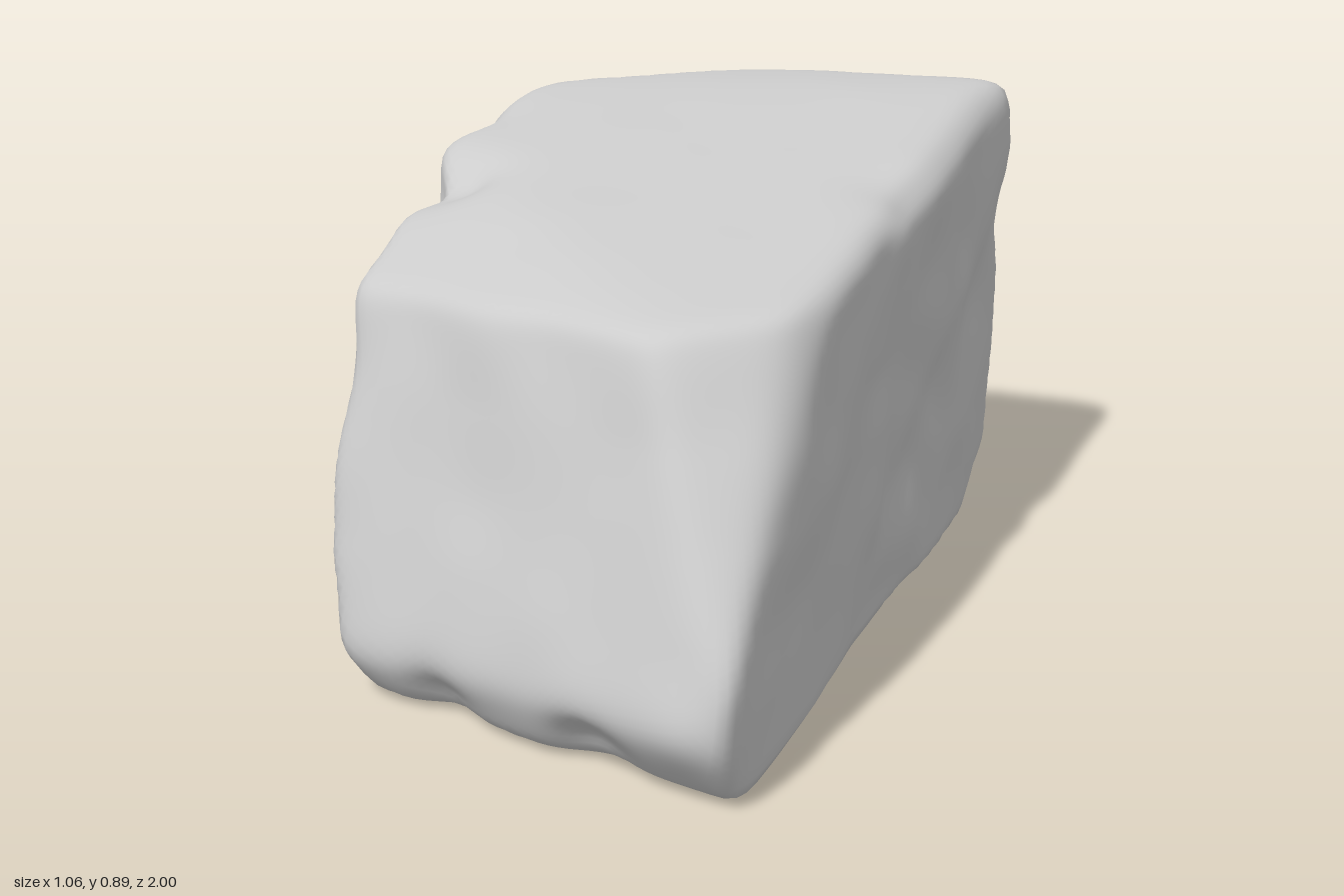
import * as THREE from 'three';
import { mergeVertices } from 'three/addons/utils/BufferGeometryUtils.js';

// Cleavage planes of the boulder: [outward normal, point on the plane]
const PLANES = [
  [[0, 1, 0.173], [0, 0.805, 0]],              // sloping top
  [[0, 1, 0], [0, 0.887, 0]],                  // highest ridge
  [[-0.2, 1, 0.32], [-0.2, 0.737, 0.39]],      // dropped front shoulder of the top
  [[0.7, 0.7, 0.24], [0.375, 0.777, 0.1]],     // worn top edge on +x
  [[0, -1, 0], [0, 0, 0]],                     // base
  [[-1, 0, 0], [-0.515, 0, 0]],                // -x side
  [[1, -0.05, 0.171], [0.522, 0.7, -0.6]],     // slanting +x side
  [[-0.5, 0.32, 0.87], [0.1, 0.2, 0.965]],     // leaning front
  [[0.35, 0.62, 0.94], [0.05, 0.7, 0.74]],     // front corner above the toe
  [[0.85, 0.3, 0.5], [0.255, 0.5, 0.79]],      // worn front edge on +x
  [[0, 0.1, 1], [0.18, 0.15, 1.005]],          // front toe
  [[-0.35, -0.6, 0.75], [0.15, 0.09, 0.985]],  // undercut below the toe
  [[-0.51, 0.39, -0.8], [0.04, 0.38, -1.02]],  // broad back face
  [[0.15, 0.6, -0.75], [0.2, 0.88, -0.71]],    // chipped top of the back
  [[0.66, 0, -0.75], [0.52, 0.5, -0.62]],      // back corner on +x
  [[0, -0.4, -0.9], [0, 0, -0.84]],            // undercut back
  [[-0.65, 0.75, 0], [-0.47, 0.84, 0]],        // chipped upper edge on -x
  [[-0.85, -0.5, 0], [-0.51, 0.08, 0]],        // chipped lower edge on -x
  [[0.6, -0.75, -0.25], [0.47, 0.07, -0.6]],   // chipped lower back corner
];
// Gouges: [centre, radius, depth]
const GOUGES = [
  [[-0.48, 0.75, 0.08], 0.14, 0.06],
  [[-0.5, 0.76, -0.25], 0.12, 0.04],
  [[-0.52, 0.45, -0.4], 0.12, 0.035],
  [[-0.52, 0.35, 0.02], 0.15, 0.035],
  [[0.4, 0.76, 0.1], 0.14, 0.025],
  [[0.42, 0.42, 0.02], 0.15, 0.02],
  [[-0.02, 0.04, 0.88], 0.09, 0.035],
  [[-0.3, 0.04, 0.72], 0.09, 0.03],
];
const CENTRE = new THREE.Vector3(-0.03, 0.42, 0);
const SHARPNESS = 50;

const facets = PLANES.map(([n, p]) => {
  const normal = new THREE.Vector3(...n).normalize();
  return { normal, distance: normal.dot(new THREE.Vector3(...p).sub(CENTRE)) };
});
const gouges = GOUGES.map(([c, radius, depth]) => ({ centre: new THREE.Vector3(...c), radius, depth }));

// Smooth seeded value noise
function hash(i, j, k) {
  const s = Math.sin(i * 127.1 + j * 311.7 + k * 74.7) * 43758.5453;
  return s - Math.floor(s);
}
function noise(x, y, z) {
  const c = [x, y, z].map(Math.floor);
  const f = [x - c[0], y - c[1], z - c[2]].map(t => t * t * (3 - 2 * t));
  let sum = 0;
  for (let n = 0; n < 8; n++) {
    const b = [n & 1, (n >> 1) & 1, n >> 2];
    const w = b.reduce((a, bit, i) => a * (bit ? f[i] : 1 - f[i]), 1);
    sum += w * hash(c[0] + b[0], c[1] + b[1], c[2] + b[2]);
  }
  return sum * 2 - 1;
}

// Distance to the rounded intersection of all planes, and how broken the surface is there
function castToSurface(dir) {
  let total = 0, rough = 0;
  for (const { normal, distance } of facets) {
    const w = Math.pow(Math.max(0, normal.dot(dir) / distance), SHARPNESS);
    total += w;
    rough += w * (1 - Math.abs(normal.y)) * (normal.y > 0.2 ? 0.4 : 1);
  }
  return { radius: Math.pow(total, -1 / SHARPNESS), rough: rough / total };
}

function boulderGeometry() {
  let geo = new THREE.IcosahedronGeometry(1, 44);
  geo.deleteAttribute('uv');
  geo.deleteAttribute('normal');
  geo = mergeVertices(geo, 1e-5);
  const pos = geo.attributes.position;
  const stretch = new THREE.Vector3(0.55, 0.5, 1);
  const v = new THREE.Vector3();
  for (let i = 0; i < pos.count; i++) {
    v.fromBufferAttribute(pos, i).multiply(stretch).normalize();
    const { radius, rough } = castToSurface(v);
    const p = v.clone().multiplyScalar(radius).add(CENTRE);
    // Diagonal fracture streaks plus finer dents, mostly on the sides
    const along = p.y * 0.5 - p.z * 0.85, across = p.y * 0.85 + p.z * 0.5;
    let bump = 0.024 * noise(p.x * 4, along * 2.5, across * 6)
      + 0.016 * noise(p.x * 8 + 7, p.y * 8, p.z * 7);
    bump *= 0.1 + 0.9 * rough;
    for (const g of gouges) bump -= g.depth * Math.exp(-2 * p.distanceToSquared(g.centre) / g.radius ** 2);
    p.addScaledVector(v, bump);
    pos.setXYZ(i, p.x, Math.max(p.y, 0), p.z);
  }
  geo.computeVertexNormals();
  return geo;
}

export function createModel() {
  const group = new THREE.Group();
  group.name = 'rock';
  const boulder = new THREE.Mesh(boulderGeometry(), new THREE.MeshStandardMaterial({ color: 0xcccccc }));
  boulder.name = 'boulder';
  group.add(boulder);
  return group;
}
